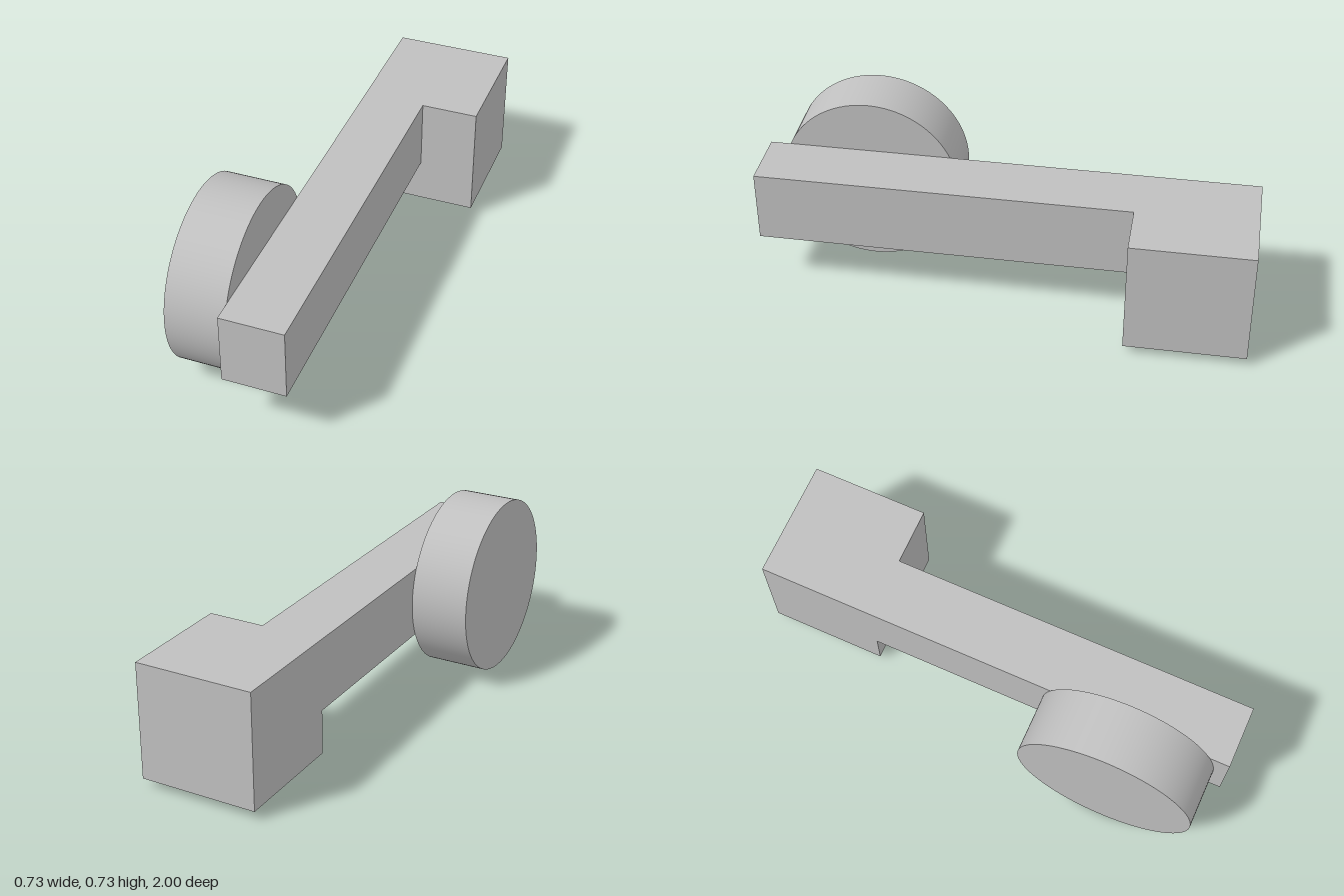
import * as THREE from 'three';

export function createModel() {
  const model = new THREE.Group();
  const grey = new THREE.MeshStandardMaterial({ color: 0xc0c0c0 });
  grey.name = 'light grey';

  // Box given by its opposite corners
  const addBox = (name, min, max) => {
    const size = max.map((v, i) => v - min[i]);
    const mesh = new THREE.Mesh(new THREE.BoxGeometry(...size), grey);
    mesh.position.set(...min.map((v, i) => (v + max[i]) / 2));
    mesh.name = name;
    model.add(mesh);
  };

  // Long arm and the block at its back end, flush on top and at the right
  addBox('arm', [-0.123, 0.218, -0.516], [0.132, 0.513, 1]);
  addBox('endBlock', [-0.123, 0.035, -1], [0.364, 0.513, -0.516]);

  // Disc on the right side of the arm, axis along x
  const disc = new THREE.Mesh(new THREE.CylinderGeometry(0.364, 0.364, 0.241, 96), grey);
  disc.rotation.z = Math.PI / 2;
  disc.position.set(-0.2435, 0.364, 0.586);
  disc.name = 'disc';
  model.add(disc);

  return model;
}
